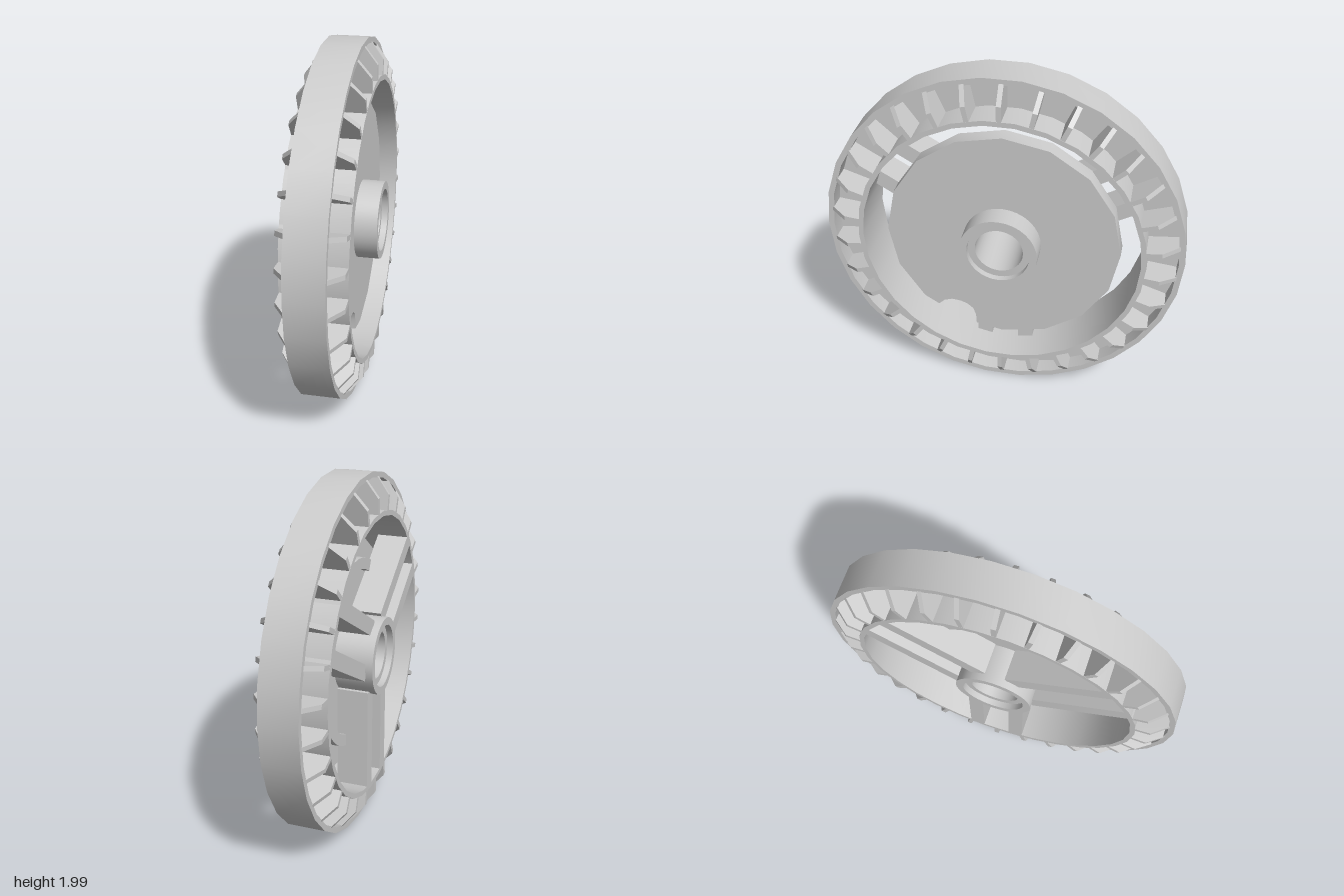
import * as THREE from 'three';
import { toCreasedNormals } from 'three/addons/utils/BufferGeometryUtils.js';

const material = new THREE.MeshStandardMaterial({ color: 0xcccccc });
const CENTRE_Y = Math.cos(Math.PI / 30);

// points on a circle between two angles (degrees)
function arc(r, sides, from = 0, to = 360) {
  const pts = [];
  const full = to - from === 360;
  for (let i = 0; i < sides + (full ? 0 : 1); i++) {
    const a = THREE.MathUtils.degToRad(from + ((to - from) * i) / sides);
    pts.push(new THREE.Vector2(r * Math.cos(a), r * Math.sin(a)));
  }
  return pts;
}

// extrude an outline from z0 to z1 along the axle
function slab(name, outline, z0, z1, hole) {
  const shape = new THREE.Shape(outline);
  if (hole) shape.holes.push(new THREE.Path(hole));
  const geo = new THREE.ExtrudeGeometry(shape, { depth: z1 - z0, bevelEnabled: false });
  geo.translate(0, 0, z0);
  const mesh = new THREE.Mesh(toCreasedNormals(geo, 0.5), material);
  mesh.name = name;
  return mesh;
}

const ring = (name, outer, inner, sides, half) =>
  slab(name, arc(outer, sides), -half, half, arc(inner, sides));

export function createModel() {
  const model = new THREE.Group();
  model.name = 'wheel';

  // the wheel is built with its axle on local z, then turned onto x
  const wheel = new THREE.Group();
  wheel.name = 'wheelBody';
  wheel.rotation.y = Math.PI / 2;
  wheel.position.y = CENTRE_Y;
  model.add(wheel);

  // rims and the web between them
  wheel.add(ring('outerRim', 1, 0.968, 30, 0.105));
  wheel.add(ring('innerRim', 0.8, 0.772, 30, 0.175));
  wheel.add(ring('rimWeb', 0.975, 0.795, 30, 0.012));

  // chamfered ribs across the rim
  const ribOutline = [[0.785, -0.174], [0.88, -0.174], [0.972, -0.104],
    [0.972, 0.104], [0.88, 0.174], [0.785, 0.174]].map(([r, x]) => new THREE.Vector2(r, x));
  const rib = slab('rib', ribOutline, -0.013, 0.013);
  rib.geometry.rotateX(Math.PI / 2);
  const ribs = new THREE.Group();
  ribs.name = 'ribs';
  for (let i = 0; i < 30; i++) {
    const r = rib.clone();
    r.rotation.z = ((i + 0.5) * Math.PI) / 15;
    ribs.add(r);
  }
  wheel.add(ribs);

  // hub with a recessed bore on both ends
  wheel.add(ring('hubSleeve', 0.217, 0.174, 32, 0.215));
  wheel.add(ring('hubBushing', 0.175, 0.134, 32, 0.18));

  // sixteen-sided disc with a rounded notch in its lower edge
  const corners = arc(0.655, 16, -90, 270);
  const notch = [[-0.155, -0.624], [-0.158, -0.56], [-0.175, -0.515], [-0.21, -0.485],
    [-0.25, -0.47], [-0.3, -0.465], [-0.345, -0.48], [-0.38, -0.514]]
    .map(([u, v]) => new THREE.Vector2(u, v));
  const outline = [...corners.slice(0, 15), ...notch.slice().reverse()];
  wheel.add(slab('disc', outline, 0, 0.09, arc(0.2, 32)));

  // three pairs of parallel spokes behind the disc
  const spokes = new THREE.Group();
  spokes.name = 'spokes';
  for (const angle of [30, 150, 270]) {
    const pair = new THREE.Group();
    pair.name = 'spokePair';
    pair.rotation.z = THREE.MathUtils.degToRad(angle);
    for (const side of [-1, 1]) {
      const bar = new THREE.Mesh(new THREE.BoxGeometry(0.625, 0.087, 0.177), material);
      bar.name = 'spoke';
      bar.position.set(0.4725, side * 0.123, -0.0865);
      pair.add(bar);
    }
    spokes.add(pair);
  }
  wheel.add(spokes);

  // raised curved wall on the back of the disc
  const wall = [...arc(0.53, 24, -82, 120), ...arc(0.465, 24, -82, 120).reverse()];
  wheel.add(slab('backWall', wall, -0.05, 0.01));

  return model;
}
